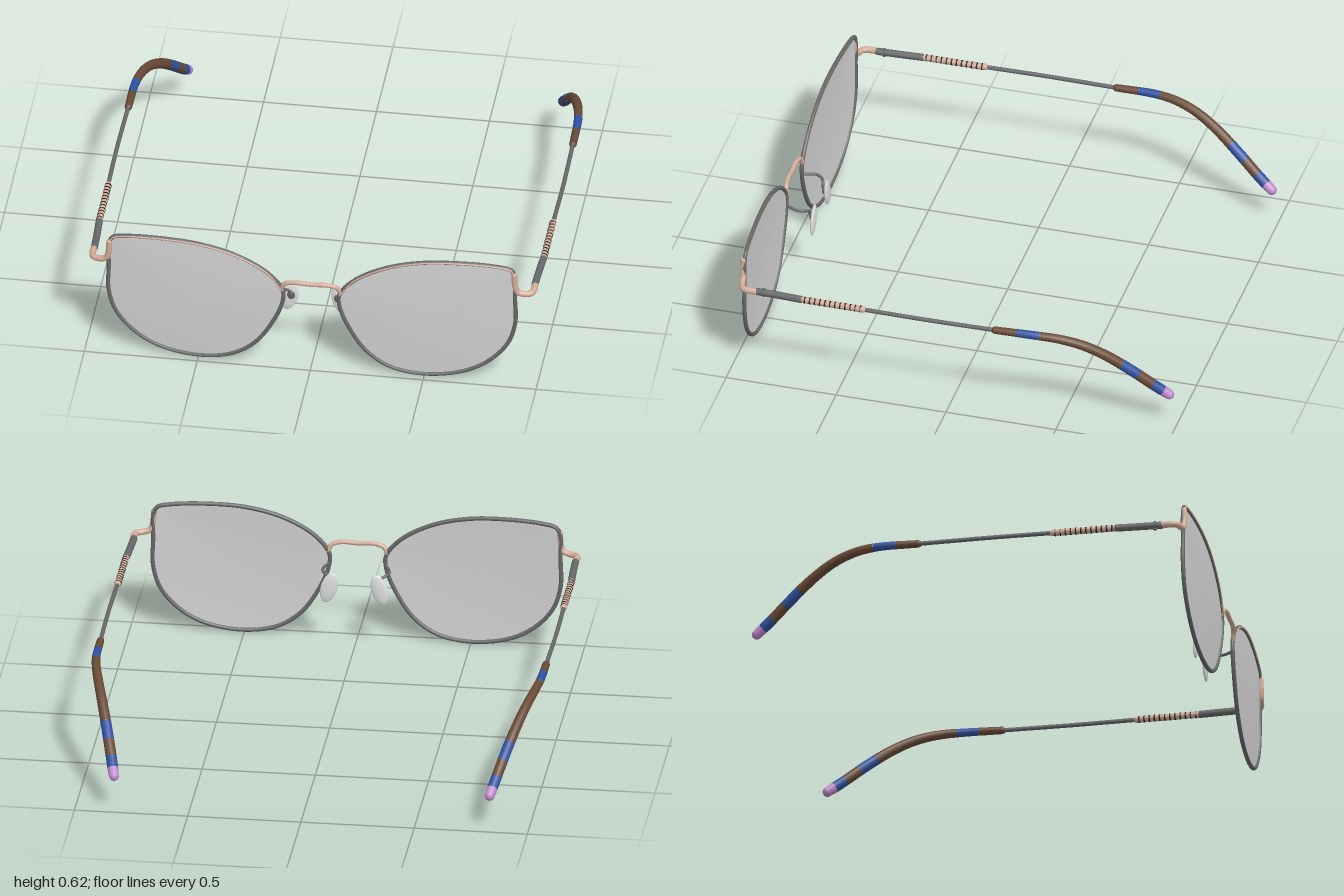
import * as THREE from 'three';
import { mergeGeometries } from 'three/addons/utils/BufferGeometryUtils.js';

const mat = (name, color, side = THREE.FrontSide) => {
  const m = new THREE.MeshStandardMaterial({ color, side });
  m.name = name;
  return m;
};

export function createModel() {
  const M = {
    gunmetal: mat('gunmetal', 0x666869),
    black: mat('black', 0x1e1e20),
    rose: mat('rose gold', 0xd3ad99),
    lens: mat('lens grey', 0xd2d2d2, THREE.DoubleSide),
    pad: mat('pad silicone', 0xdcdedc),
    brown: mat('tortoise brown', 0x694a36),
    blue: mat('blue band', 0x2f52a0),
    lilac: mat('lilac tip', 0xbf8ccc),
  };
  const model = new THREE.Group();
  model.name = 'eyeglasses';

  const add = (parent, name, geo, material) => {
    const mesh = new THREE.Mesh(geo, material);
    mesh.name = name;
    parent.add(mesh);
    return mesh;
  };
  const V = (p) => new THREE.Vector3(...p);

  // Round tube through points, tapering from r0 to r1, with optional rounded ends
  const tube = (pts, r0, r1 = r0, { seg = 32, rad = 12, closed = false, caps = true } = {}) => {
    const curve = new THREE.CatmullRomCurve3(pts, closed, 'centripetal');
    const geo = new THREE.TubeGeometry(curve, seg, 1, rad, closed);
    const pos = geo.attributes.position, v = new THREE.Vector3();
    for (let i = 0; i <= seg; i++) {
      const c = curve.getPointAt(i / seg), r = r0 + (r1 - r0) * i / seg;
      for (let j = 0; j <= rad; j++) {
        const k = i * (rad + 1) + j;
        v.fromBufferAttribute(pos, k).sub(c).multiplyScalar(r).add(c);
        pos.setXYZ(k, v.x, v.y, v.z);
      }
    }
    if (closed || !caps) return geo;
    const ball = (p, r) => new THREE.SphereGeometry(r, rad, 8).translate(p.x, p.y, p.z);
    return mergeGeometries([geo, ball(pts[0], r0), ball(pts[pts.length - 1], r1)]);
  };

  // The front sweeps gently back towards the temples
  const faceZ = (x) => 0.972 - 0.034 * x * x;

  // Cat-eye outline, from the bridge over the brow and around
  const outline = [
    [0.126, 0.40], [0.193, 0.483], [0.33, 0.56], [0.49, 0.601], [0.65, 0.611], [0.82, 0.603],
    [0.882, 0.588], [0.899, 0.55], [0.899, 0.44], [0.9, 0.31], [0.867, 0.20], [0.787, 0.105],
    [0.675, 0.04], [0.505, 0.011], [0.355, 0.036], [0.25, 0.107], [0.168, 0.23], [0.126, 0.34],
  ];

  for (const s of [1, -1]) {
    const side = new THREE.Group();
    side.name = s > 0 ? 'leftSide' : 'rightSide';
    model.add(side);
    const P = (...list) => list.map(([x, y, z]) => V([s * x, y, z]));

    // Rim wire
    const rimPts = P(...outline.map(([x, y]) => [x, y, faceZ(x)]));
    add(side, 'rim', tube(rimPts, 0.0095, 0.0095, { seg: 140, rad: 10, closed: true }), M.gunmetal);

    // Fine rose line along the front of the brow
    const brow = P(...outline.slice(0, 8).map(([x, y]) => [x, y, faceZ(x) + 0.0075]));
    add(side, 'browTrim', tube(brow, 0.0045, 0.0045, { seg: 80, rad: 8 }), M.rose);

    // Domed lens from shrinking copies of the outline
    const rimCurve = new THREE.CatmullRomCurve3(rimPts, true, 'centripetal');
    const n = 72, rings = 8, pos = [], idx = [];
    for (let r = 0; r <= rings; r++) {
      const k = 1 - r / rings;
      for (let i = 0; i < n; i++) {
        const p = rimCurve.getPointAt(i / n);
        const x = s * 0.52 + (p.x - s * 0.52) * k;
        pos.push(x, 0.314 + (p.y - 0.314) * k, faceZ(x) + 0.008 * (1 - k * k));
        const a = r * n + i, b = r * n + (i + 1) % n;
        if (r < rings) idx.push(...(s < 0 ? [a, b, a + n, b, b + n, a + n] : [a, a + n, b, b, a + n, b + n]));
      }
    }
    const lens = new THREE.BufferGeometry();
    lens.setAttribute('position', new THREE.Float32BufferAttribute(pos, 3));
    lens.setIndex(idx);
    lens.computeVertexNormals();
    add(side, 'lens', lens, M.lens);

    // End piece: down the rim, outwards, then around the corner
    add(side, 'endPiece', tube(P([0.897, 0.565, 0.95], [0.9, 0.51, 0.95], [0.912, 0.477, 0.948],
      [0.945, 0.466, 0.942], [0.97, 0.466, 0.93], [0.977, 0.466, 0.905], [0.976, 0.466, 0.865]),
      0.0125, 0.015, { seg: 48 }), M.rose);

    // Hinge block and screw
    add(side, 'hinge', tube(P([0.975, 0.466, 0.865], [0.978, 0.466, 0.77], [0.983, 0.466, 0.665]), 0.016), M.gunmetal);
    const screw = add(side, 'hingeScrew', new THREE.CylinderGeometry(0.008, 0.008, 0.038, 12), M.gunmetal);
    screw.position.set(s * 0.974, 0.466, 0.835);

    // Ringed grip
    add(side, 'grip', tube(P([0.983, 0.466, 0.665], [0.985, 0.466, 0.38]), 0.0145), M.rose);
    for (let i = 0; i < 12; i++) {
      const ring = add(side, 'gripRing', new THREE.CylinderGeometry(0.0152, 0.0152, 0.006, 14), M.black);
      ring.rotation.x = Math.PI / 2;
      ring.position.set(s * 0.984, 0.466, 0.645 - i * 0.023);
    }

    // Thin temple rod
    add(side, 'templeRod', tube(P([0.985, 0.466, 0.39], [0.988, 0.466, 0.1], [0.984, 0.466, -0.23]), 0.0095), M.gunmetal);

    // Banded temple tip following one curved path, cut by depth
    const tip = new THREE.CatmullRomCurve3(P([0.984, 0.466, -0.22], [0.98, 0.468, -0.4], [0.966, 0.459, -0.5],
      [0.942, 0.43, -0.6], [0.912, 0.375, -0.7], [0.88, 0.3, -0.8], [0.846, 0.208, -0.91], [0.829, 0.162, -0.97]));
    const uAt = (z) => {
      let a = 0, b = 1;
      for (let i = 0; i < 24; i++) {
        const m = (a + b) / 2;
        if (tip.getPointAt(m).z > z) a = m; else b = m;
      }
      return a;
    };
    const cuts = [[-0.22, 'brown'], [-0.32, 'blue'], [-0.42, 'brown'], [-0.765, 'blue'],
      [-0.835, 'brown'], [-0.895, 'blue'], [-0.94, 'lilac'], [-0.969]];
    const radius = (u) => 0.0165 + 0.0075 * Math.min(1, u * 1.4);
    for (let i = 0; i + 1 < cuts.length; i++) {
      const u0 = uAt(cuts[i][0]), u1 = uAt(cuts[i + 1][0]), pts = [];
      for (let k = 0; k <= 10; k++) pts.push(tip.getPointAt(u0 + (u1 - u0) * k / 10));
      const last = i === cuts.length - 2;
      add(side, 'templeTip', tube(pts, radius(u0), last ? 0.022 : radius(u1),
        { seg: 16, rad: 14, caps: i === 0 || last }), M[cuts[i][1]]);
    }

    // Nose pad on its curved arm
    add(side, 'padArm', tube(P([0.128, 0.35, 0.965], [0.143, 0.347, 0.935], [0.146, 0.345, 0.905],
      [0.132, 0.34, 0.882], [0.112, 0.328, 0.872], [0.104, 0.302, 0.868]), 0.0065), M.gunmetal);
    const clip = add(side, 'padClip', new THREE.SphereGeometry(0.018, 14, 10), M.gunmetal);
    clip.scale.set(1, 1.2, 0.4);
    clip.position.set(s * 0.104, 0.302, 0.865);
    const pad = add(side, 'nosePad', new THREE.SphereGeometry(1, 24, 16), M.pad);
    pad.scale.set(0.036, 0.072, 0.011);
    pad.position.set(s * 0.112, 0.286, 0.852);
    pad.rotation.z = s * 0.27;
  }

  // Bridge
  add(model, 'bridge', tube([[-0.13, 0.41, 0.972], [-0.116, 0.437, 0.976], [-0.075, 0.45, 0.981], [0, 0.448, 0.982],
    [0.075, 0.45, 0.981], [0.116, 0.437, 0.976], [0.13, 0.41, 0.972]].map(V), 0.0105, 0.0105, { seg: 48 }), M.rose);

  return model;
}
